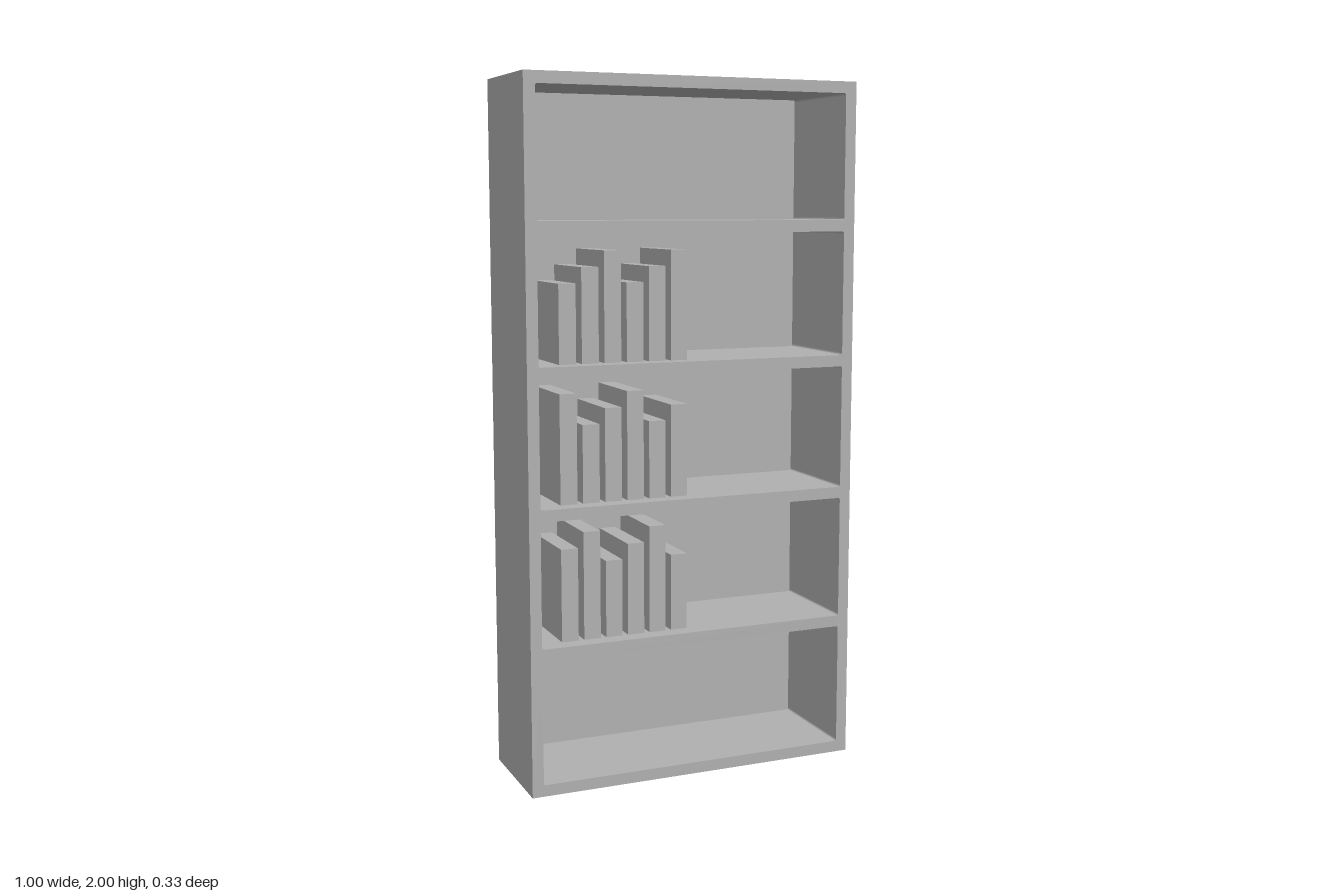
import * as THREE from 'three';

const W = 1, H = 2, D = 0.333;
const BOARD = 0.0333, BACK = 0.013;
const ROWS = 5, PITCH = (H - BOARD) / ROWS;

// Rectangular opening with slightly eased corners
function openingPath(x0, y0, x1, y1, r) {
  const p = new THREE.Path();
  p.moveTo(x0 + r, y0);
  p.lineTo(x1 - r, y0);
  p.quadraticCurveTo(x1, y0, x1, y0 + r);
  p.lineTo(x1, y1 - r);
  p.quadraticCurveTo(x1, y1, x1 - r, y1);
  p.lineTo(x0 + r, y1);
  p.quadraticCurveTo(x0, y1, x0, y1 - r);
  p.lineTo(x0, y0 + r);
  p.quadraticCurveTo(x0, y0, x0 + r, y0);
  return p;
}

export function createModel() {
  const group = new THREE.Group();
  group.name = 'bookcase';
  const grey = new THREE.MeshStandardMaterial({ color: 0xb0b0b0 });
  grey.name = 'grey';

  function add(parent, geometry, name, x, y, z) {
    const mesh = new THREE.Mesh(geometry, grey);
    mesh.name = name;
    mesh.position.set(x, y, z);
    parent.add(mesh);
  }

  // Carcass: outer frame and shelves with five openings
  const face = new THREE.Shape();
  face.moveTo(-W / 2, 0);
  face.lineTo(W / 2, 0);
  face.lineTo(W / 2, H);
  face.lineTo(-W / 2, H);
  face.closePath();
  const inner = W / 2 - BOARD;
  for (let i = 0; i < ROWS; i++) {
    const floor = BOARD + i * PITCH;
    face.holes.push(openingPath(-inner, floor, inner, floor + PITCH - BOARD, 0.006));
  }
  const carcass = new THREE.ExtrudeGeometry(face, { depth: D - BACK, bevelEnabled: false, curveSegments: 3 });
  add(group, carcass, 'carcass', 0, 0, -D / 2 + BACK);

  // Back panel
  add(group, new THREE.BoxGeometry(W, H, BACK), 'backPanel', 0, H / 2, -D / 2 + BACK / 2);

  // Books on the three middle shelves, heights cycling in threes
  const heights = [0.223, 0.267, 0.312];
  const firstHeight = { 1: [1, 2, 0], 2: [2, 0, 1], 3: [0, 1, 2] };
  for (let row = 1; row <= 3; row++) {
    const books = new THREE.Group();
    books.name = 'bookRow' + row;
    group.add(books);
    for (let i = 0; i < 6; i++) {
      const h = heights[firstHeight[row][i % 3]];
      add(books, new THREE.BoxGeometry(0.05, h, 0.233), 'book',
        -0.3667 + i * 0.0667, BOARD + row * PITCH + h / 2, 0);
    }
  }
  return group;
}
